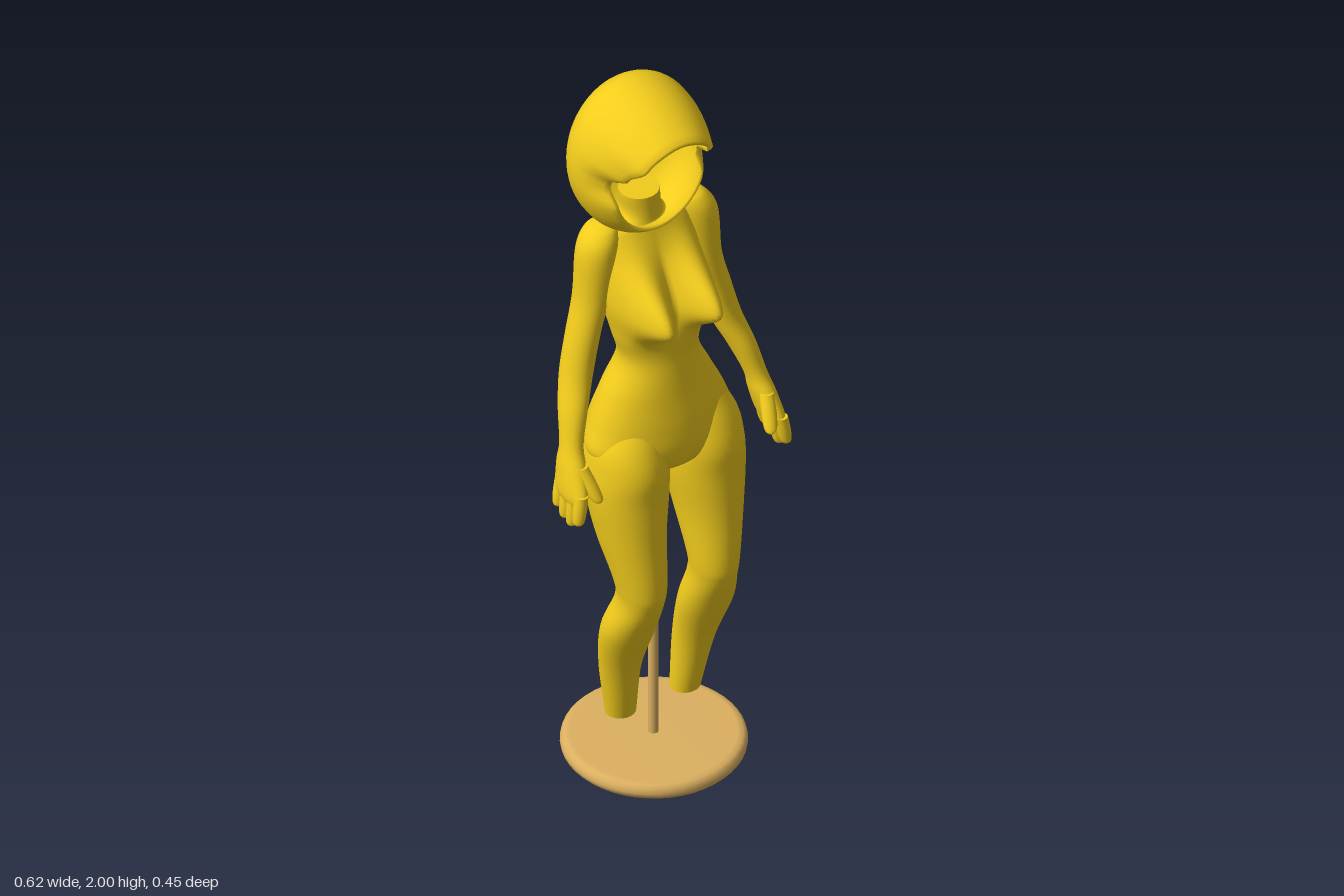
import * as THREE from 'three';

const yellow = new THREE.MeshStandardMaterial({ color: 0xf2cc1c });
const wood = new THREE.MeshStandardMaterial({ color: 0xdcb060 });

// Closed-loop grid surface: point(row, angle) for every row and column
function gridGeometry(rows, cols, point) {
  const pos = [], index = [];
  for (let i = 0; i < rows; i++) {
    for (let j = 0; j < cols; j++) {
      pos.push(...point(i, (j / cols) * Math.PI * 2));
      if (i === rows - 1) continue;
      const k = (j + 1) % cols;
      const a = i * cols + j, b = i * cols + k, c = a + cols, d = b + cols;
      index.push(a, b, c, b, d, c);
    }
  }
  const geo = new THREE.BufferGeometry();
  geo.setAttribute('position', new THREE.Float32BufferAttribute(pos, 3));
  geo.setIndex(index);
  geo.computeVertexNormals();
  return geo;
}

// Smooth loft through horizontal ellipses [x, y, z, rx, rz], listed top to bottom
function loft(sections, side = 1, cols = 32, perSpan = 6, bump = null) {
  const path = new THREE.CatmullRomCurve3(
    sections.map(s => new THREE.Vector3(s[0] * side, s[1], s[2])), false, 'catmullrom');
  const size = new THREE.CatmullRomCurve3(
    sections.map(s => new THREE.Vector3(s[3], s[4], 0)), false, 'catmullrom');
  const n = (sections.length - 1) * perSpan;
  // two extra rings at each end make crisp caps
  return gridGeometry(n + 5, cols, (i, a) => {
    const t = THREE.MathUtils.clamp((i - 2) / n, 0, 1);
    const c = path.getPoint(t), r = size.getPoint(t);
    const k = i === 0 || i === n + 4 ? 0 : 1;
    const x = c.x + Math.cos(a) * r.x * k;
    const z = c.z + Math.sin(a) * r.y * k;
    return [x, c.y, z + (bump ? bump(x, c.y, Math.sin(a)) * k : 0)];
  });
}

function add(parent, name, geo, mat = yellow) {
  const mesh = new THREE.Mesh(geo, mat);
  mesh.name = name;
  parent.add(mesh);
  return mesh;
}

const bell = (d, s) => Math.exp(-(d * d) / (2 * s * s));

// Chest, seat and spine contours of the torso
function torsoRelief(x, y, facing) {
  const m = Math.abs(x + 0.01);
  if (facing > 0) {
    const chest = bell(m - 0.073, 0.036) * bell(y - 1.405, y > 1.405 ? 0.07 : 0.042);
    return 0.125 * chest * Math.min(1, facing * 2);
  }
  const seat = bell(m - 0.085, 0.05) * bell(y - 1.0, 0.06);
  const spine = bell(m, 0.025) * bell(y - 1.36, 0.12);
  return (-0.035 * seat + 0.014 * spine) * Math.min(1, -facing * 2);
}

const torsoSections = [
  [-0.02, 1.68, -0.02, 0.05, 0.05],
  [-0.015, 1.62, -0.02, 0.055, 0.05],
  [-0.01, 1.59, -0.02, 0.11, 0.055],
  [-0.01, 1.53, -0.01, 0.13, 0.065],
  [-0.01, 1.42, 0.015, 0.138, 0.08],
  [-0.01, 1.32, 0.04, 0.12, 0.085],
  [-0.01, 1.24, 0.045, 0.105, 0.085],
  [-0.01, 1.15, 0.04, 0.145, 0.1],
  [-0.005, 1.06, 0.04, 0.182, 0.112],
  [-0.005, 0.99, 0.045, 0.195, 0.11],
  [-0.003, 0.94, 0.05, 0.13, 0.09],
  [0, 0.92, 0.05, 0.04, 0.05],
];

const legSections = [
  [0.09, 1.1, 0.05, 0.05, 0.06],
  [0.103, 1.02, 0.05, 0.088, 0.1],
  [0.107, 0.95, 0.052, 0.1, 0.118],
  [0.109, 0.87, 0.062, 0.1, 0.108],
  [0.11, 0.75, 0.082, 0.082, 0.094],
  [0.104, 0.62, 0.115, 0.062, 0.07],
  [0.104, 0.56, 0.11, 0.058, 0.066],
  [0.11, 0.46, 0.072, 0.069, 0.064],
  [0.105, 0.32, 0.028, 0.052, 0.052],
  [0.092, 0.16, 0.01, 0.038, 0.036],
];

const armSections = [
  [0.122, 1.617, -0.02, 0.012, 0.014],
  [0.128, 1.602, -0.02, 0.037, 0.042],
  [0.143, 1.55, -0.016, 0.05, 0.054],
  [0.16, 1.42, -0.015, 0.043, 0.05],
  [0.186, 1.32, -0.01, 0.041, 0.046],
  [0.212, 1.22, 0, 0.04, 0.044],
  [0.24, 1.14, 0.028, 0.034, 0.041],
  [0.262, 1.06, 0.055, 0.027, 0.034],
  [0.272, 1.01, 0.07, 0.029, 0.048],
  [0.283, 0.95, 0.088, 0.026, 0.06],
  [0.288, 0.92, 0.092, 0.015, 0.05],
];

// Tapered finger from base to tip with rounded end
function finger(a, b, r, side) {
  const at = (t, k) => [0, 1, 2].map(i => a[i] + (b[i] - a[i]) * t).concat(r * k, r * k);
  return loft([at(0, 1), at(0.5, 1.05), at(0.85, 0.9), at(0.96, 0.6), at(1, 0.15)], side, 12, 3);
}

// Depth of the face opening's rim by height: brim on top, notch at the sides
const rimDepth = [[-1, 0.075], [-0.3, 0.08], [0, 0.052], [0.15, 0.058], [0.35, 0.115],
  [0.7, 0.165], [1, 0.175]];
function rimZ(s) {
  for (let i = 1; i < rimDepth.length; i++) {
    const [s0, z0] = rimDepth[i - 1], [s1, z1] = rimDepth[i];
    if (s <= s1) return z0 + (z1 - z0) * THREE.MathUtils.smoothstep(s, s0, s1);
  }
  return 0.175;
}

// Hollow head shell: rings from the back pole to the rim, then back inside
function headGeometry() {
  const back = 16, front = 12, half = back + front;
  return gridGeometry(2 * half + 2, 72, (row, a) => {
    const inner = row > half;
    const i = inner ? 2 * half + 1 - row : row;
    const u = Math.min(1, i / back) * Math.PI / 2;
    const v = Math.max(0, (i - back) / front);
    const k = (inner ? 0.93 : 1) * (i <= back ? Math.sin(u) : 1 - 0.25 * v * v);
    const zBack = -0.03 - (inner ? 0.117 : 0.13) * Math.cos(u);
    const s = Math.sin(a);
    const z = i <= back ? zBack : -0.03 + (rimZ(s) + 0.03) * v;
    return [-0.027 + 0.174 * k * Math.cos(a), 1.79 - 0.015 * v + 0.21 * k * s, z];
  });
}

export function createModel() {
  const model = new THREE.Group();
  model.name = 'mannequin';

  add(model, 'head', headGeometry());
  add(model, 'torso', loft(torsoSections, 1, 96, 10, torsoRelief));

  for (const [side, label] of [[1, 'left'], [-1, 'right']]) {
    add(model, label + 'Leg', loft(legSections, side, 40, 8));

    const arm = new THREE.Group();
    arm.name = label + 'Arm';
    model.add(arm);
    add(arm, 'arm', loft(armSections, side, 28, 6));
    const tips = [0.885, 0.868, 0.862, 0.88];
    tips.forEach((y, i) => {
      const z = 0.047 + i * 0.029;
      add(arm, 'finger', finger([0.285, 0.96, z], [0.297, y, z + 0.004], 0.0165, side));
    });
    add(arm, 'thumb', finger([0.266, 1.02, 0.1], [0.246, 0.935, 0.15], 0.018, side));
  }

  // Round base with softened rim, and the support pole
  const profile = [[0, 0.005], [0.2, 0.005], [0.214, 0.01], [0.223, 0.02], [0.225, 0.03],
    [0.222, 0.042], [0.214, 0.05], [0.2, 0.053], [0, 0.053]].map(p => new THREE.Vector2(...p));
  const base = add(model, 'base', new THREE.LatheGeometry(profile, 48), wood);
  base.position.set(0.01, -0.004, 0);
  const pole = add(model, 'pole', new THREE.CylinderGeometry(0.013, 0.013, 0.96, 20), wood);
  pole.position.set(0.008, 0.52, 0);

  return model;
}
